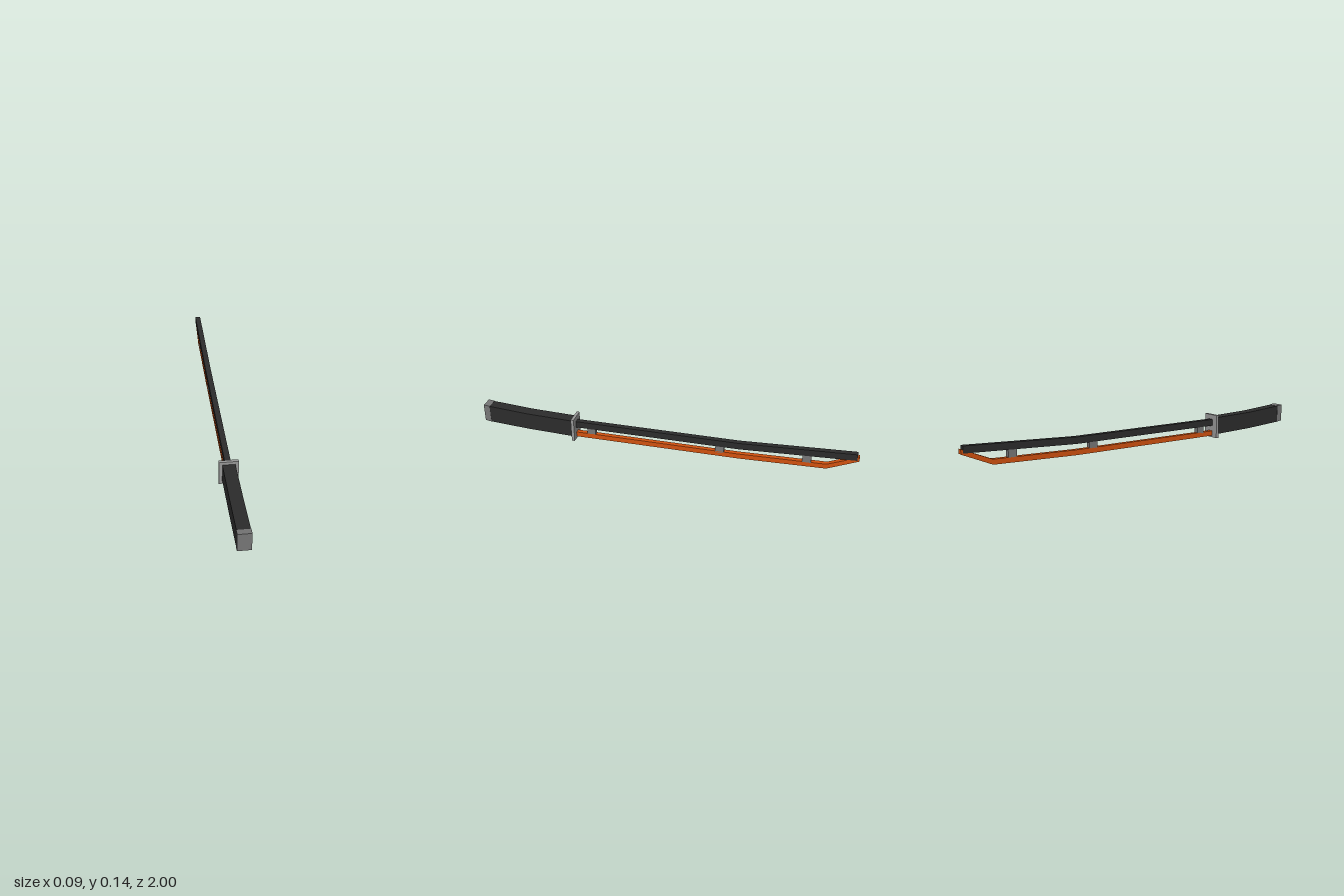
import * as THREE from 'three';

const mat = (name, color) => {
  const m = new THREE.MeshStandardMaterial({ color });
  m.name = name;
  return m;
};

export function createModel() {
  const group = new THREE.Group();
  const black = mat('black', 0x2c2c2c);
  const steel = mat('steel grey', 0x777777);
  const light = mat('light grey', 0x999999);
  const orange = mat('orange', 0xd2520f);

  const add = (name, geometry, material) => {
    const mesh = new THREE.Mesh(geometry, material);
    mesh.name = name;
    group.add(mesh);
    return mesh;
  };

  // Bar with a side profile given by stations [z, bottom, top], extruded across x
  const bar = (name, stations, halfWidth, material) => {
    const lower = stations.map(([z, b]) => new THREE.Vector2(-z, b));
    const upper = stations.map(([z, , t]) => new THREE.Vector2(-z, t)).reverse();
    const geometry = new THREE.ExtrudeGeometry(new THREE.Shape([...lower, ...upper]), {
      depth: halfWidth * 2, bevelEnabled: false,
    });
    geometry.translate(0, 0, -halfWidth).rotateY(Math.PI / 2);
    return add(name, geometry, material);
  };

  // Curved grip and its end cap
  bar('grip', [[0.967, 0.041, 0.135], [0.75, 0.027, 0.119], [0.485, 0.018, 0.111]], 0.031, black);
  bar('pommel', [[1, 0.046, 0.14], [0.967, 0.041, 0.136]], 0.032, steel);

  // Hand guard plate
  add('guard', new THREE.BoxGeometry(0.095, 0.127, 0.016), light).position.set(0, 0.0635, 0.488);

  // Spine of the blade
  bar('spine', [[0.488, 0.066, 0.101], [-0.4, 0.066, 0.101], [-0.99, 0.092, 0.127]], 0.0145, black);

  // Cutting edge, sweeping up to the tip
  bar('edge', [
    [0.488, 0.009, 0.036], [-0.4, 0.009, 0.036],
    [-0.845, 0.021, 0.047], [-1, 0.088, 0.112],
  ], 0.0125, orange);

  // Small struts joining spine and edge
  for (const [z, y] of [[0.395, 0.05], [-0.3, 0.05], [-0.745, 0.063]]) {
    add('strut', new THREE.BoxGeometry(0.025, 0.042, 0.045), steel).position.set(0, y, z);
  }
  return group;
}
